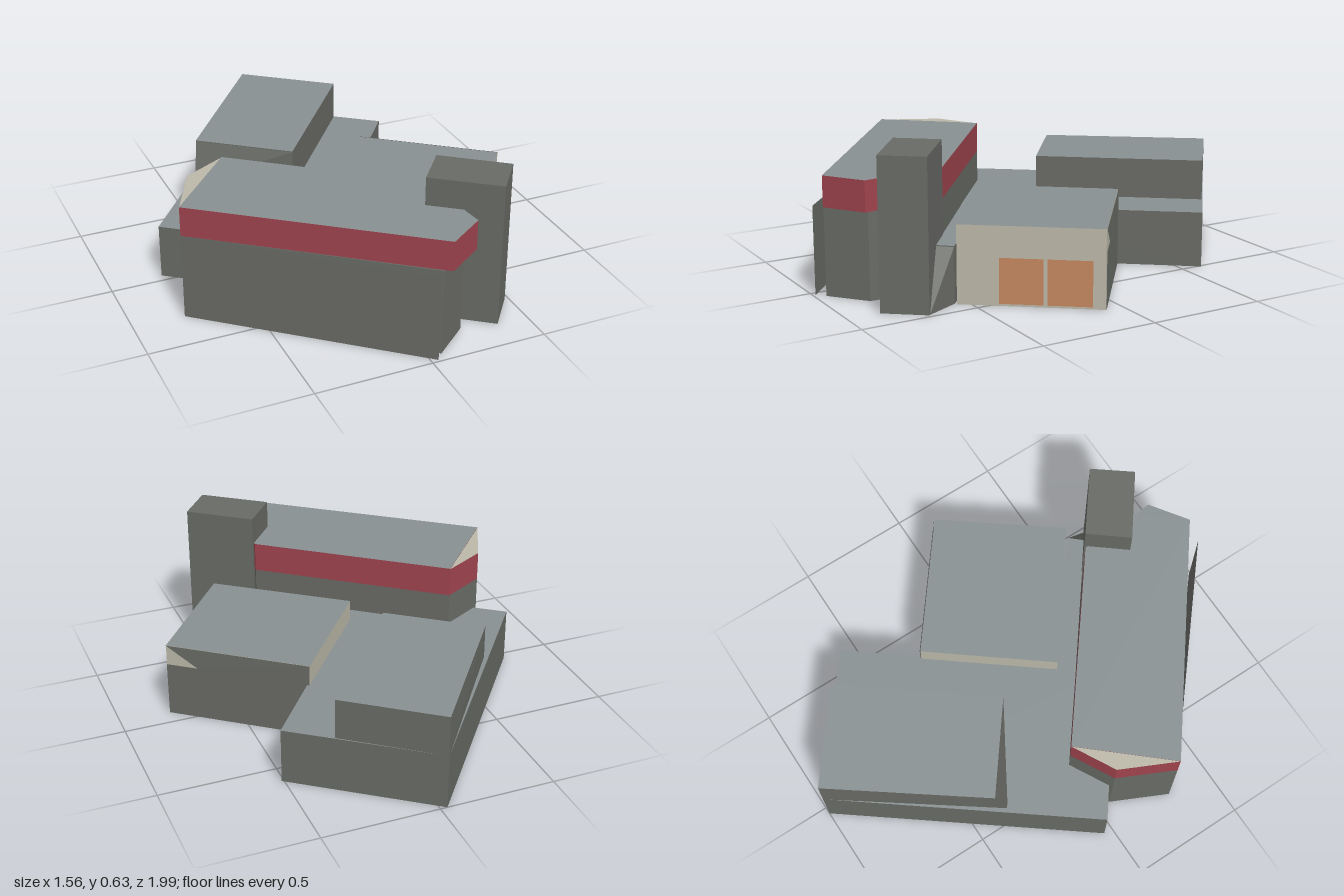
import * as THREE from 'three';
import { ConvexGeometry } from 'three/addons/geometries/ConvexGeometry.js';

const material = (name, color) => {
  const m = new THREE.MeshStandardMaterial({ color, flatShading: true, side: THREE.DoubleSide });
  m.name = name;
  return m;
};

export function createModel() {
  const wall = material('dark wall', 0x686a65);
  const roof = material('grey roof', 0x889092);
  const cream = material('cream wall', 0xbbb7a8);
  const red = material('red band', 0x9e434d);
  const orange = material('orange door', 0xc4875f);
  const model = new THREE.Group();
  model.name = 'building';

  const add = (name, geometry, mat) => {
    const mesh = new THREE.Mesh(geometry, mat);
    mesh.name = name;
    model.add(mesh);
    return mesh;
  };

  // Upright prism over an x,z footprint, with separate top, side and bottom colours
  const prism = (name, footprint, y0, y1, top, side, bottom = side) => {
    const shape = new THREE.Shape(footprint.map(([x, z]) => new THREE.Vector2(x, -z)));
    const g = new THREE.ExtrudeGeometry(shape, { depth: y1 - y0, bevelEnabled: false });
    g.rotateX(-Math.PI / 2).translate(0, y0, 0);
    const [caps, sides] = g.groups;
    g.clearGroups();
    g.addGroup(0, caps.count / 2, 2);
    g.addGroup(caps.count / 2, caps.count / 2, 0);
    g.addGroup(sides.start, sides.count, 1);
    return add(name, g, [top, side, bottom]);
  };

  // Flat upright panel on the line a-b; points are (fraction along the line, height)
  const panel = (name, a, b, points, mat, offset = 0) => {
    const dx = b[0] - a[0], dz = b[1] - a[1], len = Math.hypot(dx, dz);
    const g = new THREE.ShapeGeometry(new THREE.Shape(points.map(([t, y]) => new THREE.Vector2(t * len, y))));
    g.translate(0, 0, offset);
    g.rotateY(Math.atan2(-dz, dx)).translate(a[0], 0, a[1]);
    return add(name, g, mat);
  };

  // Low rear wing
  prism('lowWing', [[-0.77, -0.04], [-0.03, -1], [0.51, -0.59], [-0.23, 0.37]], 0, 0.24, roof, wall);

  // Raised rear block with a sloping end
  const rearTop = [[-0.03, -1], [0.33, -0.72], [-0.12, -0.14], [-0.47, -0.41]];
  const rearBase = [[-0.03, -1], [0.33, -0.72], [-0.12, -0.14], [-0.495, -0.365]];
  add('rearBlock', new ConvexGeometry([
    ...rearTop.map(([x, z]) => new THREE.Vector3(x, 0.412, z)),
    ...rearBase.map(([x, z]) => new THREE.Vector3(x, 0.23, z)),
  ]), wall);
  prism('rearRoof', rearTop, 0.411, 0.415, roof, wall);

  // Low passage between hall and garage, ending in a sloping corner
  const passage = [[-0.42, 0.01], [-0.1, 0.1], [0.41, 0.555], [0.36, 0.61]];
  prism('passage', passage, 0, 0.239, roof, wall);
  add('passageEnd', new ConvexGeometry([
    [0.36, 0.235, 0.61], [0.41, 0.235, 0.555], [0.36, 0, 0.61], [0.41, 0, 0.555], [0.48, 0, 0.7],
  ].map((p) => new THREE.Vector3(...p))), wall);

  // Garage with cream walls and one mostly dark side
  const frontA = [0.42, 0.55], frontB = [0.78, 0.08], rear = [0.28, -0.31];
  prism('garage', [frontA, frontB, rear, [-0.09, 0.16]], 0, 0.33, roof, cream);
  panel('garageSide', frontB, rear,
    [[0, 0], [1, 0], [1, 0.33], [0, 0.33], [0.22, 0.24], [0, 0.24]], wall, 0.003);
  for (const [t0, t1] of [[0.287, 0.585], [0.612, 0.915]]) {
    panel('garageDoor', frontA, frontB, [[t0, 0.01], [t1, 0.01], [t1, 0.2], [t0, 0.2]], orange, 0.004);
  }

  // Main hall: dark walls, freestanding outer wall, red band and roof
  const west = [-0.78, 0.3], bulge = [-0.665, 0.06], north = [-0.48, -0.04], inner = [0.23, 0.515];
  prism('hallWalls', [west, bulge, north, inner, [0.21, 0.83], [0.06, 0.955]], 0, 0.38, wall, wall);
  panel('outerWall', west, [0.03, 0.99], [[0, 0], [1, 0], [1, 0.375], [0, 0.375]], wall);
  prism('hallRoof', [west, north, inner, [0.24, 0.78], [0.25, 0.86], [0.09, 0.97]], 0.38, 0.51, roof, red, wall);
  prism('hallEnd', [west, bulge, north], 0.38, 0.508, cream, red, wall);

  // Tower
  prism('tower', [[0.24, 0.515], [0.115, 0.67], [0.365, 0.86], [0.485, 0.705]], 0, 0.633, wall, wall);

  return model;
}
